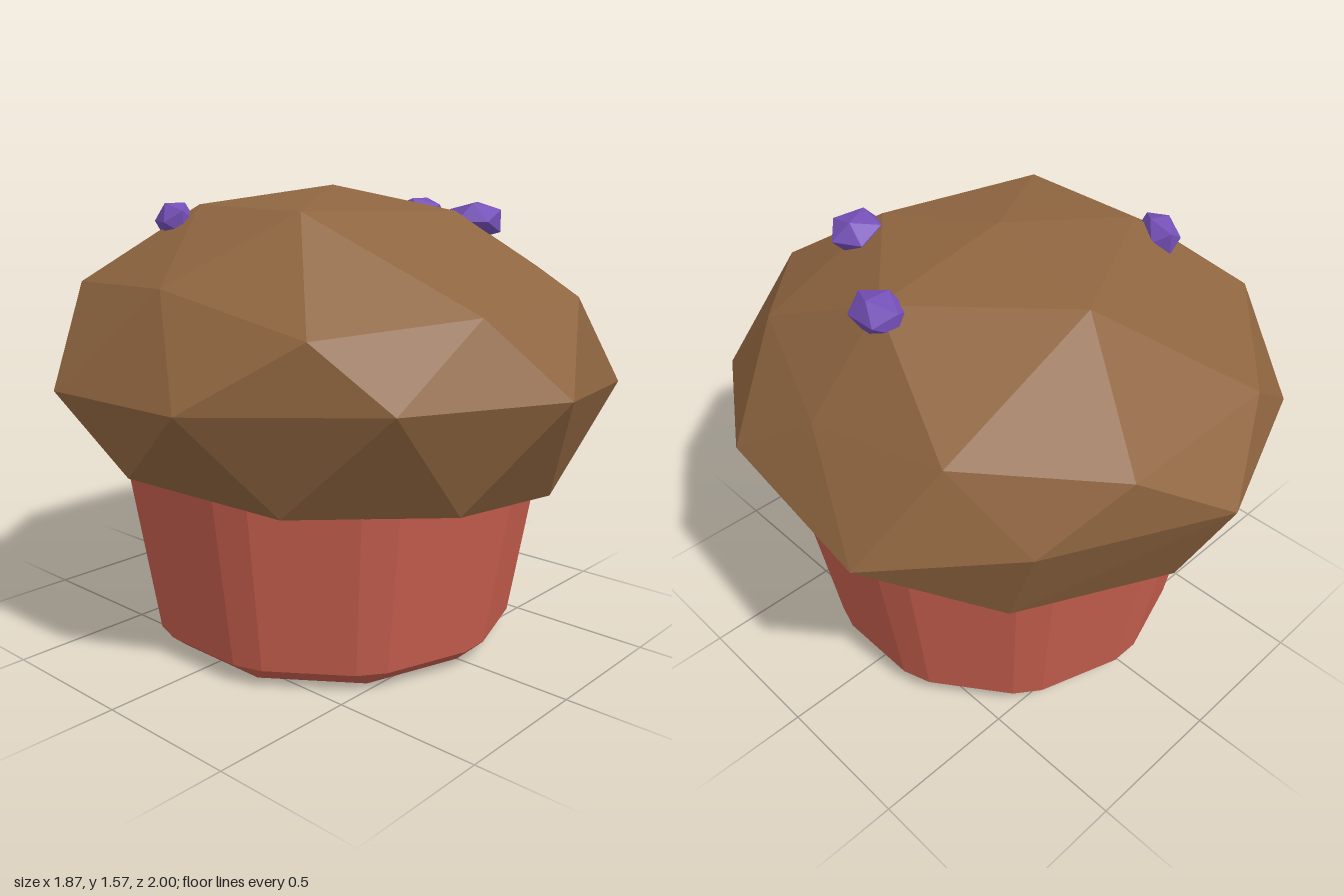
import * as THREE from 'three';
import { ConvexGeometry } from 'three/addons/geometries/ConvexGeometry.js';

const flat = (color) => new THREE.MeshStandardMaterial({ color, flatShading: true });

// Ten-sided paper cup with bevelled upright corners, tapering to a chamfered base
function cupGeometry() {
  const sides = 10, bevel = 0.08, pos = [];
  const at = (r, y, a) => [r * Math.sin(a), y, r * Math.cos(a)];
  const tri = (a, b, c) => pos.push(...a, ...b, ...c);
  const quad = (a, b, c, d) => { tri(a, b, c); tri(a, c, d); };
  for (let i = 0; i < sides; i++) {
    const a = (i / sides) * Math.PI * 2, next = a + (Math.PI * 2) / sides;
    const foot = at(0.58, 0, a), footNext = at(0.58, 0, next);
    const low = [a - bevel, a + bevel, next - bevel].map((t) => at(0.65, 0.065, t));
    const top = [a - bevel, a + bevel, next - bevel].map((t) => at(0.77, 0.8, t));
    tri([0, 0, 0], footNext, foot);
    tri(foot, low[1], low[0]);
    quad(foot, footNext, low[2], low[1]);
    quad(low[0], low[1], top[1], top[0]);
    quad(low[1], low[2], top[2], top[1]);
    tri([0, 0.8, 0], top[0], top[1]);
    tri([0, 0.8, 0], top[1], top[2]);
  }
  const geo = new THREE.BufferGeometry();
  geo.setAttribute('position', new THREE.Float32BufferAttribute(pos, 3));
  geo.computeVertexNormals();
  return geo;
}

// Faceted muffin top, built from irregular rings running from crown to rim
function capGeometry() {
  const crown = [
    [0.01, 1.57, 0], [0.11, 1.51, -0.48], [0.5, 1.48, 0],
    [0.13, 1.49, 0.43], [-0.43, 1.5, 0.27], [-0.42, 1.51, -0.2],
  ];
  const shoulder = [
    [0.68, 1.24, -0.47], [0.3, 1.19, -0.84], [-0.3, 1.19, -0.83], [-0.7, 1.26, -0.48], [-0.78, 1.28, 0.03],
    [-0.7, 1.17, 0.55], [-0.23, 1.21, 0.8], [0.25, 1.23, 0.83], [0.6, 1.28, 0.46], [0.76, 1.17, 0.03],
  ];
  const widest = [
    [0.01, 1, -1], [0.56, 0.98, -0.71], [0.93, 0.93, -0.34], [0.86, 0.95, 0.34], [0.57, 0.91, 0.82],
    [-0.05, 0.965, 1], [-0.57, 0.97, 0.76], [-0.92, 0.95, 0.24], [-0.94, 0.95, -0.31], [-0.56, 1, -0.78],
  ];
  const rim = [
    [0.25, 0.56, 0.76], [0.58, 0.53, 0.42], [0.74, 0.66, -0.15], [0.52, 0.62, -0.57], [0, 0.6, -0.81],
    [-0.5, 0.62, -0.6], [-0.9, 0.72, 0], [-0.66, 0.62, 0.4], [-0.26, 0.61, 0.76],
  ];
  return new ConvexGeometry([...crown, ...shoulder, ...widest, ...rim].map((p) => new THREE.Vector3(...p)));
}

export function createModel() {
  const group = new THREE.Group();
  const add = (name, geo, material) => {
    const mesh = new THREE.Mesh(geo, material);
    mesh.name = name;
    group.add(mesh);
    return mesh;
  };

  add('paperCup', cupGeometry(), flat(0xc9604f));
  add('muffinTop', capGeometry(), flat(0x8f6540));

  // Berries: position, half sizes, turn
  const berryMaterial = flat(0x7550b8);
  [
    [[0.23, 1.455, 0.44], [0.11, 0.07, 0.1], 0.5],
    [[0.5, 1.455, 0], [0.085, 0.07, 0.11], 0],
    [[-0.47, 1.455, -0.265], [0.065, 0.07, 0.1], -0.4],
  ].forEach(([p, s, turn], i) => {
    const berry = add(`berry${i + 1}`, new THREE.IcosahedronGeometry(1, 0), berryMaterial);
    berry.position.set(...p);
    berry.scale.set(...s);
    berry.rotation.y = turn;
  });
  return group;
}
